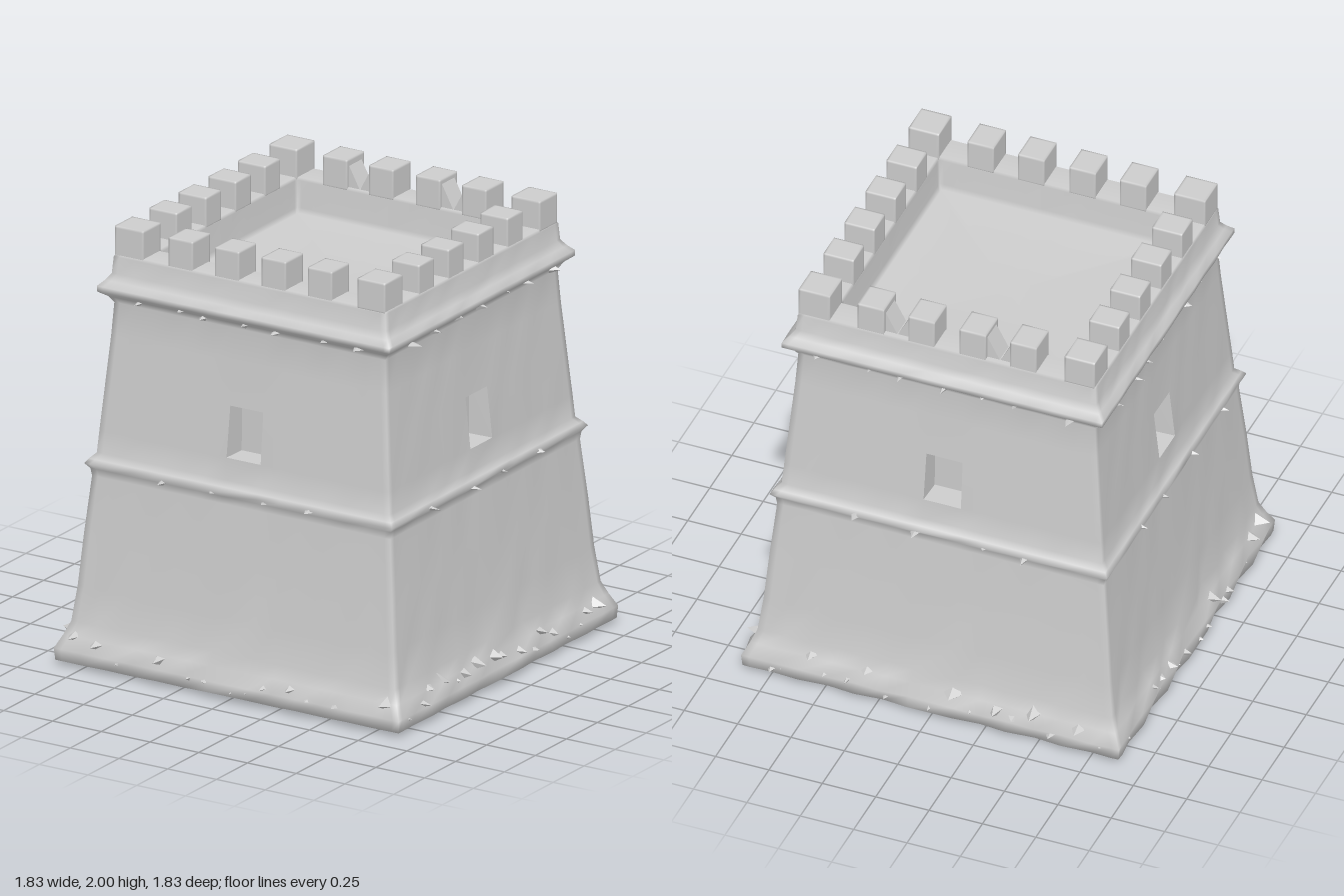
import * as THREE from 'three';
import { mergeVertices, mergeGeometries } from 'three/addons/utils/BufferGeometryUtils.js';

const stone = new THREE.MeshStandardMaterial({ color: 0xcccccc });
stone.name = 'grey stone';

// [half width, height], from the underside, up the wall, over the parapet to the roof floor
const PROFILE = [
  [0, 0.02], [0.84, 0.02], [0.88, 0.025], [0.885, 0.08], [0.855, 0.14], [0.83, 0.2], [0.81, 0.36], [0.79, 0.6],
  [0.765, 0.86], [0.77, 0.895], [0.79, 0.92], [0.775, 0.94], [0.75, 0.965], [0.742, 1.065], [0.722, 1.3],
  [0.705, 1.5], [0.695, 1.65], [0.715, 1.68], [0.75, 1.705], [0.75, 1.73], [0.725, 1.755], [0.703, 1.785],
  [0.697, 1.86], [0.69, 1.872], [0.56, 1.872], [0.55, 1.862], [0.545, 1.74], [0.53, 1.72], [0, 1.7],
];
const COLS = [-1, -0.96, -0.85, -0.7, -0.55, -0.4, -0.26, -0.118, 0.118, 0.26, 0.4, 0.55, 0.7, 0.85, 0.96, 1];
const WINDOW_ROW = 13, WINDOW_COL = 7;

let seed = 7;
const rand = () => (seed = (seed * 16807) % 2147483647) / 2147483647;
const span = (a, b) => a + (b - a) * rand();

// Weathered point on the front side; u runs from corner to corner
function wallPoint(row, u) {
  const [h, y] = PROFILE[row];
  const rough = row > 1 && row < 6 ? 0.014 : row > 6 && row < 22 ? 0.004 : 0;
  const fade = 1 - Math.abs(u) ** 8;
  const bump = rough * fade * Math.sin(u * 23 + row * 2.3);
  return [u * h, y + bump * 0.5, h + bump];
}

function fromTriangles(points) {
  const g = new THREE.BufferGeometry();
  g.setAttribute('position', new THREE.Float32BufferAttribute(points.flat(), 3));
  return g;
}

const quad = (out, a, b, c, d) => out.push(a, b, c, a, c, d);

function fourSides(geometry) {
  return mergeGeometries([0, 1, 2, 3].map(i => geometry.clone().rotateY(i * Math.PI / 2)));
}

// Tower shell with a window opening left in each side
function shell() {
  const pts = [];
  for (let r = 0; r < PROFILE.length - 1; r++) {
    for (let c = 0; c < COLS.length - 1; c++) {
      if (r === WINDOW_ROW && c === WINDOW_COL) continue;
      quad(pts, wallPoint(r, COLS[c]), wallPoint(r, COLS[c + 1]),
        wallPoint(r + 1, COLS[c + 1]), wallPoint(r + 1, COLS[c]));
    }
  }
  const g = mergeVertices(fourSides(fromTriangles(pts)), 1e-4);
  g.computeVertexNormals();
  return g;
}

// Pocket behind the window opening
function windowRecess() {
  const l = COLS[WINDOW_COL], r = COLS[WINDOW_COL + 1], w = WINDOW_ROW;
  const rim = [wallPoint(w, l), wallPoint(w, r), wallPoint(w + 1, r), wallPoint(w + 1, l)];
  const back = rim.map(([x, y]) => [x * 0.95, y, 0.63]);
  const pts = [];
  for (let i = 0; i < 4; i++) {
    const j = (i + 1) % 4;
    quad(pts, rim[i], rim[j], back[j], back[i]);
  }
  quad(pts, ...back);
  const g = fromTriangles(pts);
  g.computeVertexNormals();
  return g;
}

// Merlon block with softly shaded, slightly worn corners
function merlon(width) {
  const g = new THREE.BoxGeometry(width, 0.14, 0.14, 3, 3, 3);
  g.deleteAttribute('normal');
  g.deleteAttribute('uv');
  const p = g.attributes.position;
  const soften = (v, half) => Math.abs(v) < half * 0.9 ? Math.sign(v) * half * 0.86 : v;
  for (let i = 0; i < p.count; i++) {
    p.setXYZ(i, soften(p.getX(i), width / 2), soften(p.getY(i), 0.07), soften(p.getZ(i), 0.07));
  }
  const smooth = mergeVertices(g, 1e-4);
  smooth.computeVertexNormals();
  return smooth;
}

// Pointed chip of stone sticking out of the front side
function chip(x, y, z, width, height, reach) {
  const g = new THREE.ConeGeometry(1, 1, 4, 1, true).toNonIndexed();
  g.rotateX(Math.PI / 2).scale(width, height, reach);
  g.rotateZ(span(-0.5, 0.5)).translate(x, y, z + reach / 2);
  g.computeVertexNormals();
  return g;
}

export function createModel() {
  const model = new THREE.Group();
  const add = (name, geometry, parent = model) => {
    const mesh = new THREE.Mesh(geometry, stone);
    mesh.name = name;
    parent.add(mesh);
    return mesh;
  };

  add('towerShell', shell());
  add('windowRecesses', fourSides(windowRecess()));

  // Battlements: six merlons a side, sharing the corners
  const battlements = new THREE.Group();
  battlements.name = 'battlements';
  model.add(battlements);
  const corner = merlon(0.145), middle = merlon(0.122);
  for (let s = 0; s < 4; s++) {
    const side = new THREE.Group();
    side.name = 'battlementSide';
    side.rotation.y = s * Math.PI / 2;
    battlements.add(side);
    [-0.622, -0.357, -0.12, 0.12, 0.357].forEach((x, i) => {
      add('merlon', i ? middle : corner, side).position.set(x, 1.93, 0.622);
    });
  }

  // Rubble slopes in two gaps at the back
  for (const s of [-1, 1]) {
    for (const [edge, top] of [[0.295, 1.97], [0.18, 1.98]]) {
      const slope = new THREE.Shape();
      slope.moveTo(s * edge, 1.868);
      slope.lineTo(s * 0.24, 1.868);
      slope.lineTo(s * edge, top);
      const g = new THREE.ExtrudeGeometry(slope, { depth: 0.1, bevelEnabled: false });
      add('rubbleSlope', g.translate(0, 0, -0.67));
    }
  }

  // Broken chips along the foot, the middle ledge and the cornice
  const bands = [
    { name: 'footChips', count: 17, half: 0.82, y: [0.04, 0.15], z: 0.83, size: [0.03, 0.06], reach: [0.05, 0.085] },
    { name: 'ledgeChips', count: 4, half: 0.6, y: [0.9, 0.92], z: 0.745, size: [0.025, 0.04], reach: [0.05, 0.09] },
    { name: 'corniceChips', count: 7, half: 0.66, y: [1.67, 1.7], z: 0.69, size: [0.02, 0.045], reach: [0.05, 0.085] },
  ];
  for (const b of bands) {
    const chips = [];
    for (let s = 0; s < 4; s++) {
      for (let i = 0; i < b.count; i++) {
        const x = b.half * (2 * (i + span(0.2, 0.8)) / b.count - 1);
        chips.push(chip(x, span(...b.y), b.z, span(...b.size), span(...b.size) * 0.7, span(...b.reach))
          .rotateY(s * Math.PI / 2));
      }
    }
    add(b.name, mergeGeometries(chips));
  }

  // Rest the lowest stones on the ground
  const box = new THREE.Box3().setFromObject(model);
  model.position.y = -box.min.y;
  return model;
}
